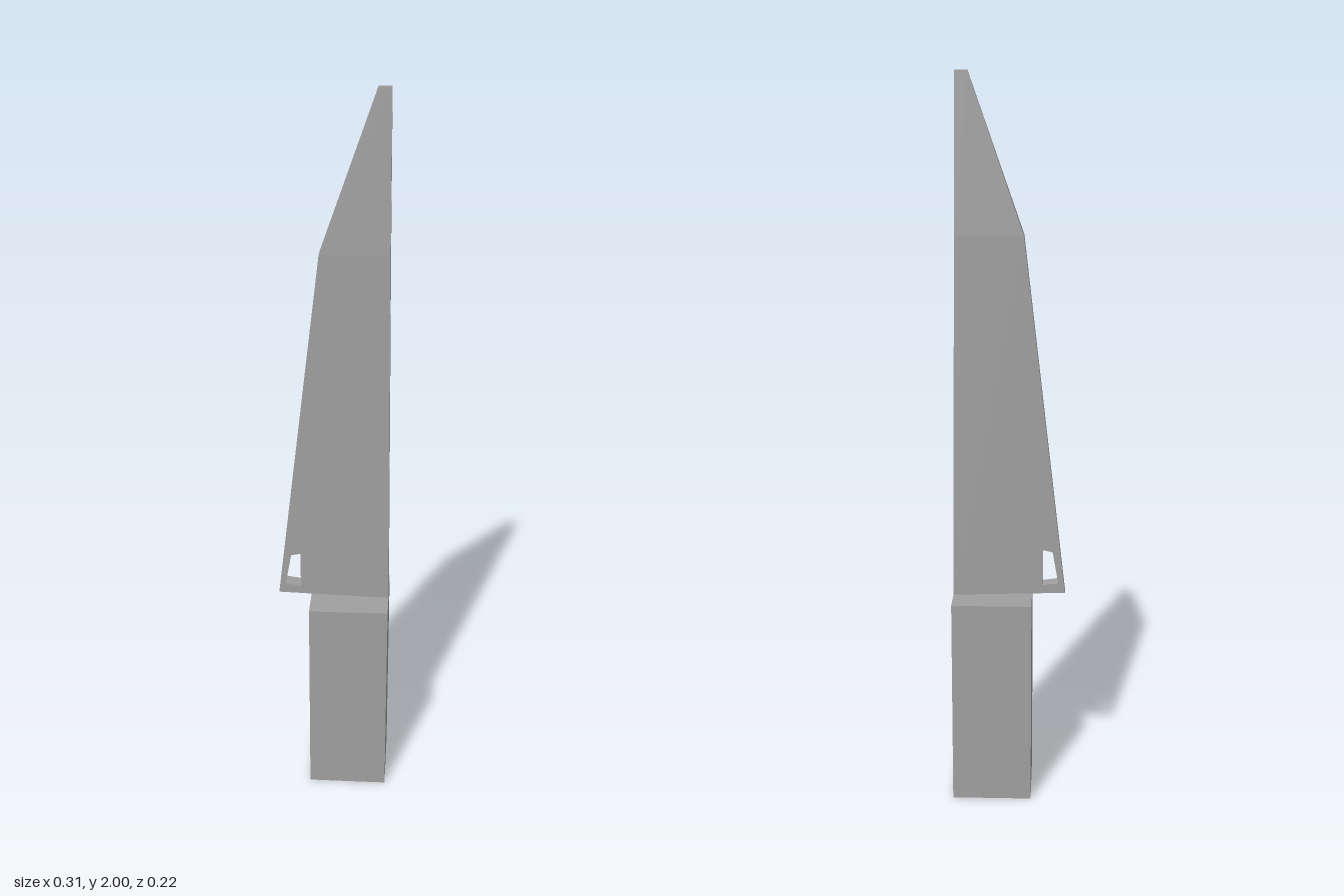
import * as THREE from 'three';

const HALF = 0.022;      // half thickness of the blade
const TIP_HALF = 0.006;  // half thickness at the very top
const FOLD = 1.58;       // height where the tip begins

export function createModel() {
  const grey = new THREE.MeshStandardMaterial({ color: 0xa0a0a0 });
  grey.name = 'plain grey';
  const group = new THREE.Group();
  group.name = 'knife';
  const add = (name, geometry) => {
    const mesh = new THREE.Mesh(geometry, grey);
    mesh.name = name;
    group.add(mesh);
  };

  // Square block handle
  const handle = new THREE.BoxGeometry(0.22, 0.58, 0.22);
  handle.translate(0.045, 0.29, 0);
  add('handle', handle);

  // Main blade with the small hole at the heel
  const points = (list) => list.map(([x, y]) => new THREE.Vector2(x, y));
  const outline = new THREE.Shape(points([
    [-0.157, 0.589], [0.155, 0.58], [0.144, FOLD], [-0.04, FOLD],
  ]));
  outline.holes.push(new THREE.Path(points([
    [-0.138, 0.617], [-0.122, 0.708], [-0.095, 0.714], [-0.095, 0.611],
  ])));
  const blade = new THREE.ExtrudeGeometry(outline, { depth: 2 * HALF, bevelEnabled: false });
  blade.translate(0, 0, -HALF);
  add('blade', blade);

  // Tip narrows in both width and thickness
  const tip = new THREE.BoxGeometry(1, 1, 1);
  const pos = tip.attributes.position;
  for (let i = 0; i < pos.count; i++) {
    const top = pos.getY(i) > 0;
    const spine = pos.getX(i) > 0;
    const x = top ? (spine ? 0.141 : 0.107) : (spine ? 0.144 : -0.04);
    pos.setXYZ(i, x, top ? 2 : FOLD, Math.sign(pos.getZ(i)) * (top ? TIP_HALF : HALF));
  }
  tip.computeVertexNormals();
  add('bladeTip', tip);

  return group;
}
